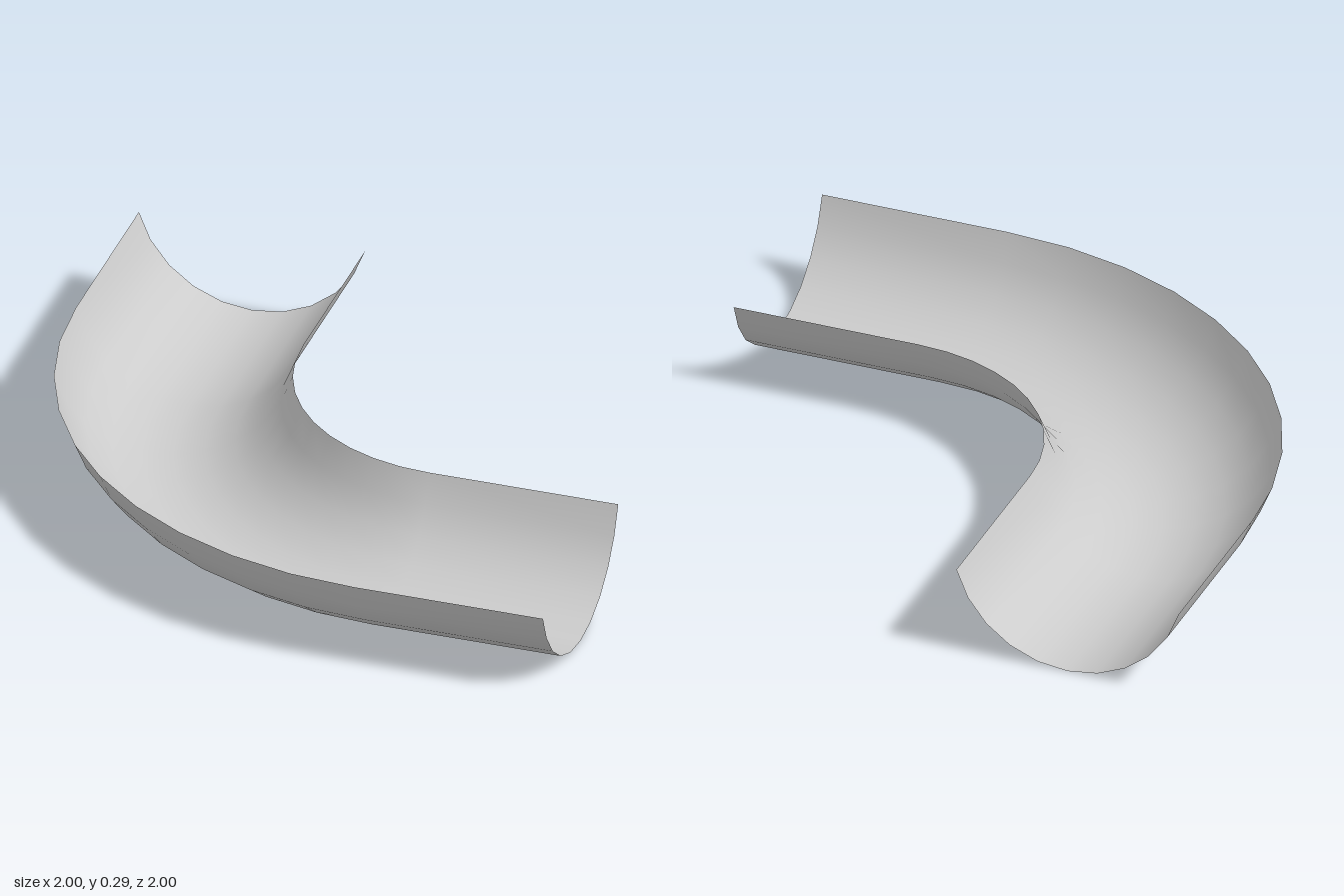
import * as THREE from 'three';

const BEND = { x: 0.375, z: -0.375, radius: 1, segments: 10 }; // quarter-turn centreline
const STRAIGHT = 0.625; // length of the straight run at each end
const HALF_ARC = THREE.MathUtils.degToRad(75);
const TROUGH_RADIUS = 0.375 / Math.sin(HALF_ARC);
const ARC_SEGMENTS = 10;

export function createModel() {
  const group = new THREE.Group();
  group.name = 'curvedGutter';

  // Sheet bent into an open trough: columns follow the arc, rows follow the path
  const rows = BEND.segments + 2;
  const geometry = new THREE.PlaneGeometry(1, 1, ARC_SEGMENTS, rows);
  const position = geometry.attributes.position;

  for (let row = 0; row <= rows; row++) {
    const step = THREE.MathUtils.clamp(row - 1, 0, BEND.segments);
    const turn = (step / BEND.segments) * Math.PI / 2;
    // First and last rows run straight out along the tangent
    const run = row === 0 ? -STRAIGHT : row === rows ? STRAIGHT : 0;

    for (let col = 0; col <= ARC_SEGMENTS; col++) {
      const phi = THREE.MathUtils.lerp(-HALF_ARC, HALF_ARC, col / ARC_SEGMENTS);
      const r = BEND.radius - TROUGH_RADIUS * Math.sin(phi);
      position.setXYZ(
        row * (ARC_SEGMENTS + 1) + col,
        BEND.x - r * Math.cos(turn) + run * Math.sin(turn),
        TROUGH_RADIUS * (1 - Math.cos(phi)),
        BEND.z + r * Math.sin(turn) + run * Math.cos(turn)
      );
    }
  }
  geometry.computeVertexNormals();

  const material = new THREE.MeshStandardMaterial({ color: 0xcccccc, side: THREE.DoubleSide });
  const trough = new THREE.Mesh(geometry, material);
  trough.name = 'trough';
  group.add(trough);
  return group;
}
